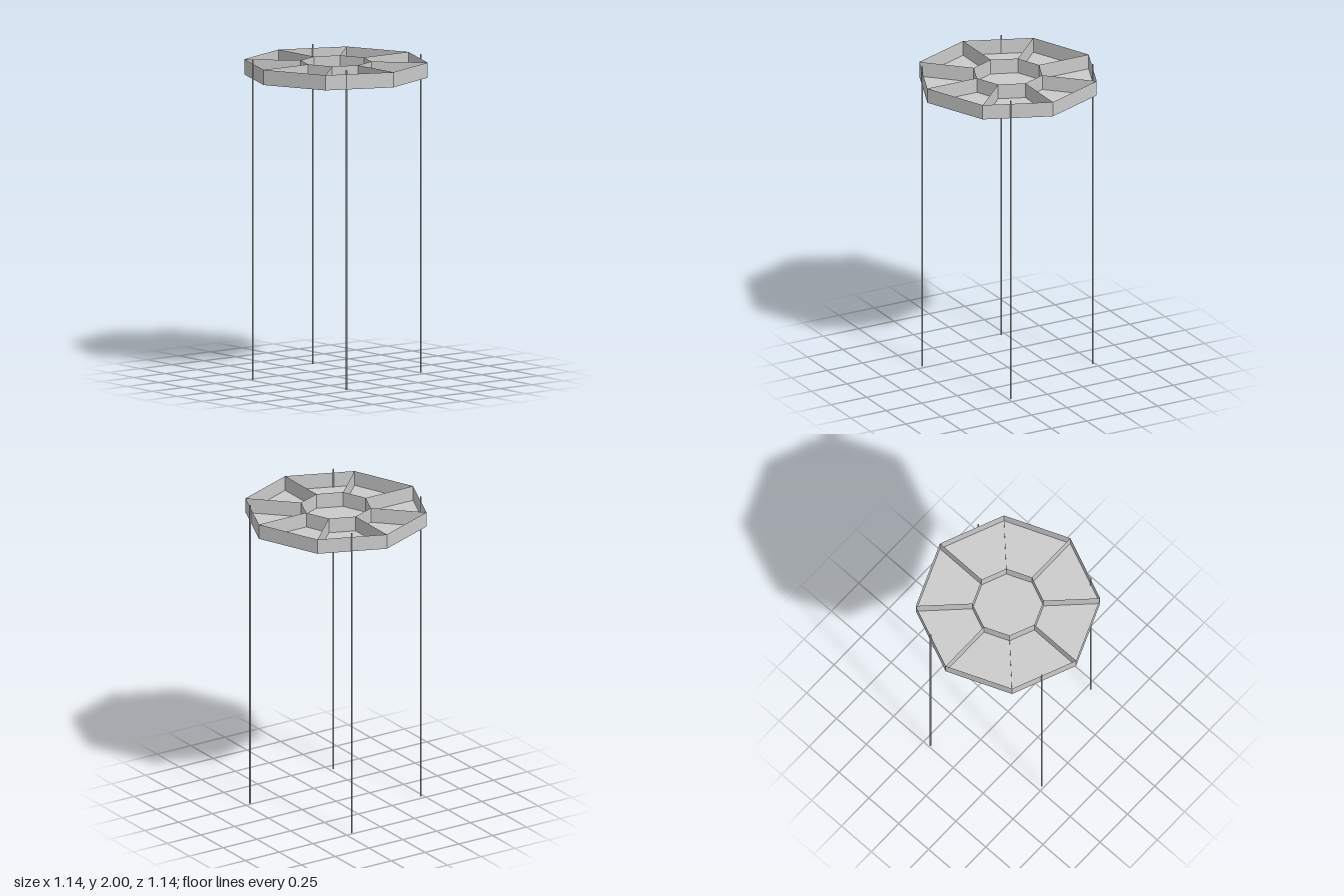
import * as THREE from 'three';

const SIDES = 8, OUTER = 0.57, INNER = 0.22, FLOOR = 1.88, RIM = 1.975;

export function createModel() {
  const model = new THREE.Group();
  const sheet = new THREE.MeshStandardMaterial({ color: 0xcccccc, flatShading: true, side: THREE.DoubleSide });
  const solid = new THREE.MeshStandardMaterial({ color: 0xcccccc });
  const height = RIM - FLOOR, middle = (RIM + FLOOR) / 2;

  const add = (name, geometry, material, x, y, z, parent = model) => {
    const mesh = new THREE.Mesh(geometry, material);
    mesh.name = name;
    mesh.position.set(x, y, z);
    parent.add(mesh);
    return mesh;
  };

  // Octagonal tray: thin floor, outer wall and central compartment wall
  const tray = new THREE.Group();
  tray.name = 'tray';
  model.add(tray);
  add('trayFloor', new THREE.CircleGeometry(OUTER, SIDES).rotateX(-Math.PI / 2), sheet, 0, FLOOR, 0, tray);
  for (const [name, r] of [['outerWall', OUTER], ['innerWall', INNER]])
    add(name, new THREE.CylinderGeometry(r, r, height, SIDES, 1, true), sheet, 0, middle, 0, tray);

  // Thin radial dividers joining the corners of the two walls
  const divider = new THREE.PlaneGeometry(OUTER - INNER, height);
  const mid = (OUTER + INNER) / 2;
  for (let i = 0; i < SIDES; i++) {
    const a = (i / SIDES) * Math.PI * 2;
    add('divider', divider, sheet, mid * Math.cos(a), middle, -mid * Math.sin(a), tray).rotation.y = a;
  }

  // Slender poles standing against the outer wall: x, z, foot height
  const poles = [[0.245, -0.475, 0.01], [-0.487, -0.203, 0], [0.453, 0.277, 0], [-0.22, 0.483, 0]];
  for (const [x, z, foot] of poles)
    add('pole', new THREE.CylinderGeometry(0.005, 0.005, 2 - foot, 8), solid, x, 1 + foot / 2, z);

  return model;
}
